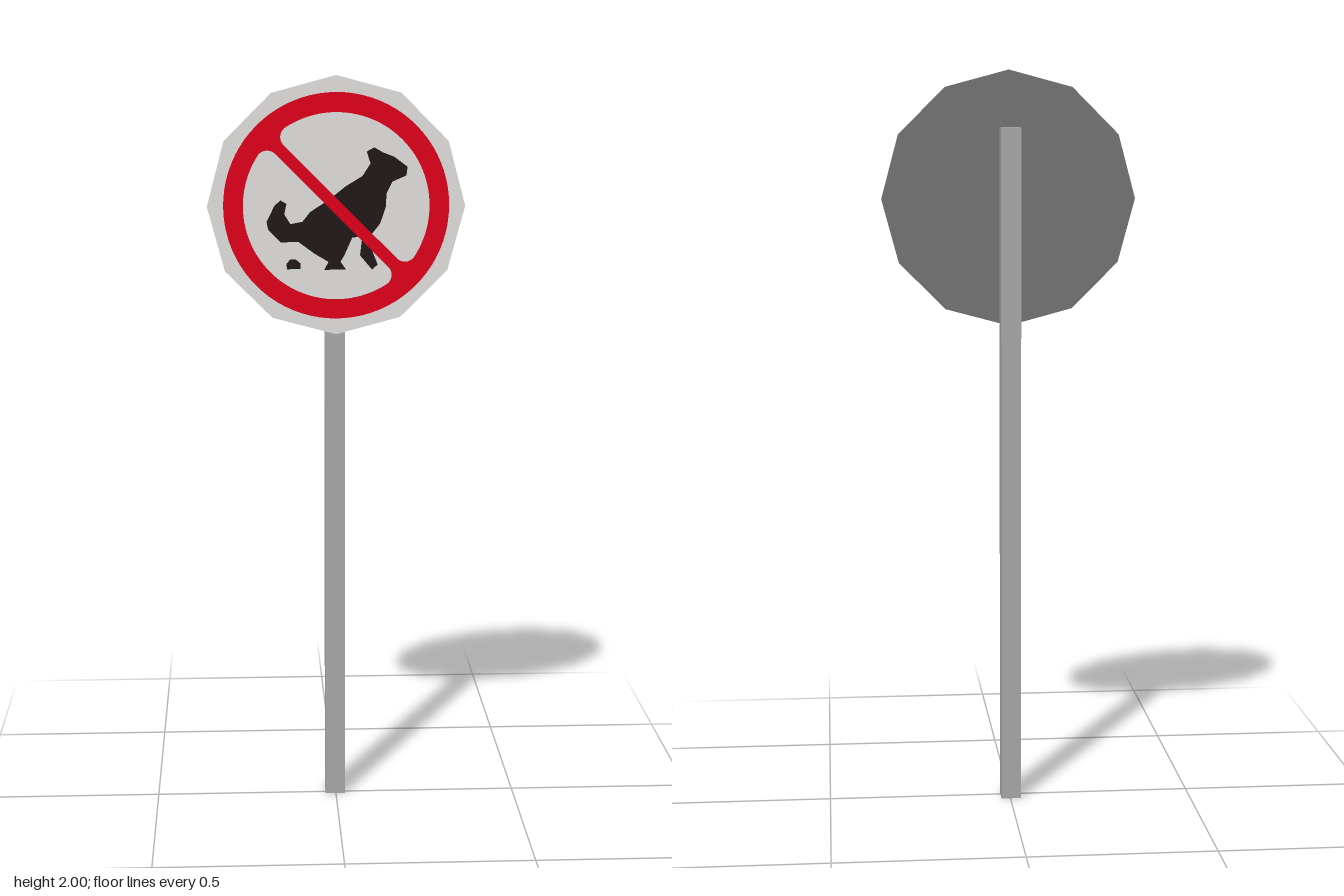
import * as THREE from 'three';

const CENTER_Y = 1.66, FACE_Z = 0.038, RADIUS = 0.342;

const material = (name, color, side = THREE.FrontSide) =>
  new THREE.MeshStandardMaterial({ name, color, side });

const part = (name, geometry, mat) => {
  const mesh = new THREE.Mesh(geometry, mat);
  mesh.name = name;
  return mesh;
};

// Closed shape from [x, y] pairs in hundredths of a unit
const outline = (points) =>
  new THREE.Shape(points.map(([x, y]) => new THREE.Vector2(x / 100, y / 100)));

// Half disc with rounded corners, one opening on either side of the slash
function halfDisc(radius, gap, fillet, turn) {
  const v = gap + fillet;
  const u = Math.sqrt((radius - fillet) ** 2 - v * v);
  const a = Math.atan2(v, u);
  const path = new THREE.Path();
  path.absarc(0, 0, radius, a, Math.PI - a);
  path.absarc(-u, v, fillet, Math.PI - a, Math.PI * 1.5);
  path.absarc(u, v, fillet, -Math.PI / 2, a);
  const points = path.getPoints(24).map((p) => p.rotateAround(new THREE.Vector2(), turn));
  return new THREE.Path(points);
}

export function createModel() {
  const model = new THREE.Group();
  model.name = 'noDogFoulingSign';

  const poleGrey = material('poleGrey', 0xaaaaaa, THREE.DoubleSide);
  const plateWhite = material('plateWhite', 0xe4e2df);
  const backGrey = material('backGrey', 0x757575);
  const signRed = material('signRed', 0xe3001b);
  const symbolBlack = material('symbolBlack', 0x211718);

  // Square hollow post, open at the foot
  const post = new THREE.BoxGeometry(0.054, 1.85, 0.054);
  const index = Array.from(post.index.array);
  index.splice(18, 6);
  post.setIndex(index);
  post.clearGroups();
  post.translate(-0.002, 0.925, -0.013);
  model.add(part('post', post, poleGrey));

  // Twelve-sided plate with a dark back
  const plate = new THREE.CylinderGeometry(RADIUS, RADIUS, 0.025, 12).toNonIndexed();
  plate.computeVertexNormals();
  plate.rotateX(Math.PI / 2);
  plate.translate(0, CENTER_Y, FACE_Z - 0.0125);
  model.add(part('plate', plate, [plateWhite, plateWhite, backGrey]));

  // Painted face
  const face = new THREE.Group();
  face.name = 'paintedFace';
  face.position.set(0, CENTER_Y, FACE_Z);
  model.add(face);

  // Dog silhouette: head, chest, legs, tail, back
  const dog = outline([
    [10, 15.5], [12.2, 14.2], [15.3, 13], [18.8, 10.4], [18.5, 8.1], [14.8, 6.5],
    [13.2, 3.3], [13.2, 0.2], [11.6, -4.6], [9.5, -7.2], [9, -10.4], [11, -15.5],
    [9.5, -16.8], [6.3, -13], [6.9, -7.8], [4.2, -8.3], [2.1, -13], [1.1, -14.7],
    [2.6, -16.8], [-3.2, -16.8], [-2.1, -14.7], [-5.8, -12.5], [-10, -9.4],
    [-14.8, -9.4], [-18, -6.2], [-18.5, -4], [-16.4, 0.2], [-14.8, 1.7],
    [-13.2, 0.7], [-13.8, -2], [-12.2, -4.6], [-9, -4], [-6.9, -1.4], [-2.1, 1.7],
    [2.6, 5.4], [6.9, 8], [9, 11.3], [8, 14.4],
  ]);
  const dropping = outline([
    [-13.2, -16.6], [-9.6, -16.6], [-9.6, -15], [-10.8, -14], [-12.2, -14], [-13.2, -15],
  ]);
  for (const [name, shape] of [['dog', dog], ['dropping', dropping]]) {
    const mesh = part(name, new THREE.ShapeGeometry(shape), symbolBlack);
    mesh.position.z = 0.001;
    face.add(mesh);
  }

  // Red ring and diagonal slash in one piece
  const ban = new THREE.Shape().absarc(0, 0, 0.299, 0, Math.PI * 2);
  for (const turn of [-Math.PI / 4, Math.PI * 0.75])
    ban.holes.push(halfDisc(0.247, 0.016, 0.03, turn));
  const ring = part('ringAndSlash', new THREE.ShapeGeometry(ban, 40), signRed);
  ring.position.z = 0.002;
  face.add(ring);

  return model;
}
